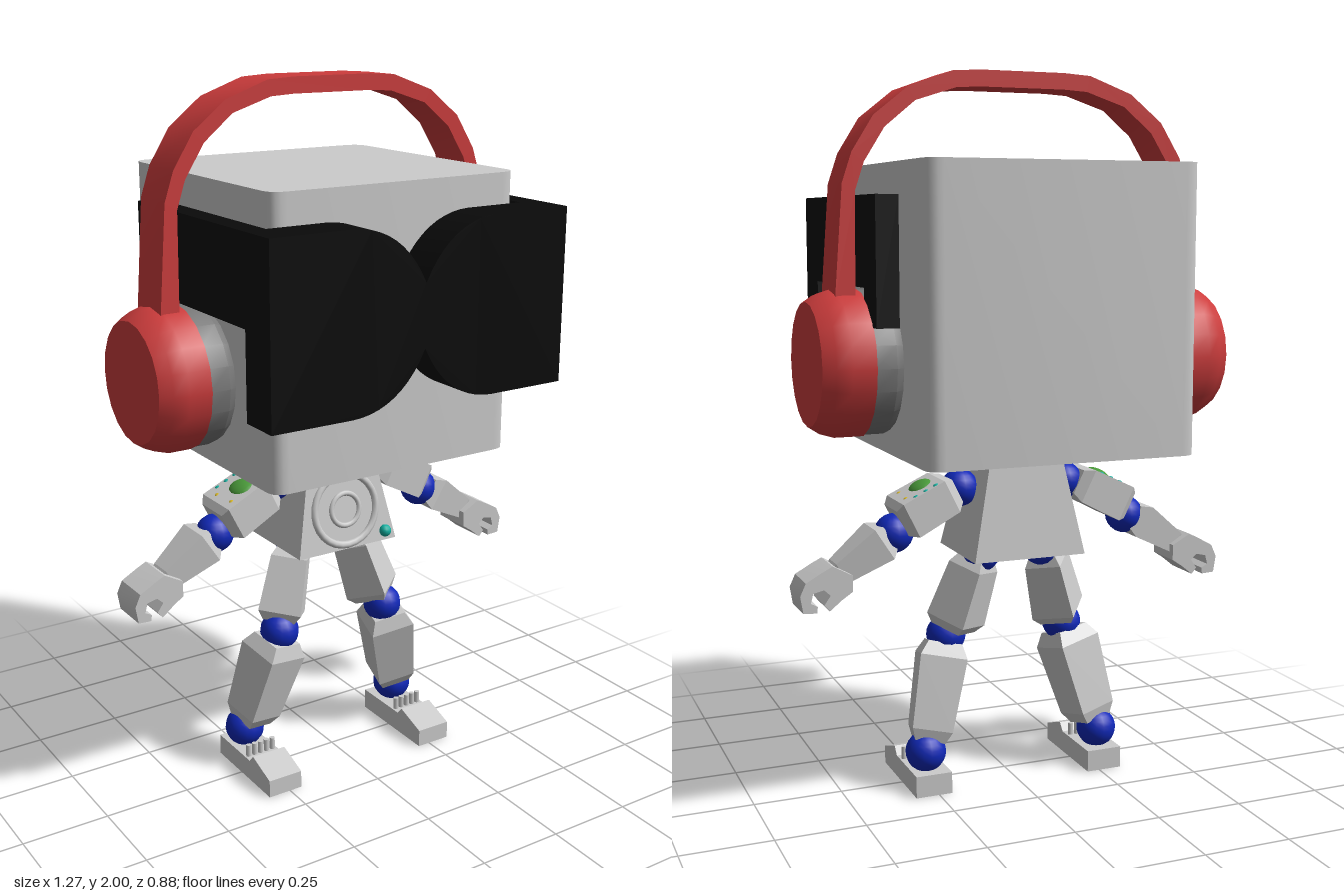
import * as THREE from 'three';
import { toCreasedNormals } from 'three/addons/utils/BufferGeometryUtils.js';

const mat = (color, extra = {}) => new THREE.MeshStandardMaterial({ color, ...extra });
const GREY = mat(0xcccccc), RED = mat(0xcc3c3c), BLACK = mat(0x0a0a0a), BLUE = mat(0x1028b8);
const BUTTON = mat(0xdd1010), GREEN = mat(0x4a9a3a), TEAL = mat(0x10b0a0), YELLOW = mat(0xd8b820);
const V = (x, y, z) => new THREE.Vector3(x, y, z);

export function createModel() {
  const root = new THREE.Group();
  root.name = 'robotFigure';

  const add = (name, geo, material, parent = root) => {
    const m = new THREE.Mesh(geo, material);
    m.name = name;
    parent.add(m);
    return m;
  };
  const polygon = pts => new THREE.Shape(pts.map(p => new THREE.Vector2(p[0], p[1])));
  const extrude = (shape, depth, curveSegments = 8) =>
    toCreasedNormals(new THREE.ExtrudeGeometry(shape, { depth, bevelEnabled: false, curveSegments }), 0.6);
  // side profile of [z, y] points swept along x
  const extrudeX = (pts, x0, x1) =>
    extrude(polygon(pts.map(([z, y]) => [-z, y])), x1 - x0).rotateY(Math.PI / 2).translate(x0, 0, 0);
  const ball = (name, p, r, material = BLUE, parent = root, w = 16, h = 12) => {
    const m = add(name, new THREE.SphereGeometry(r, w, h), material, parent);
    m.position.copy(p);
    return m;
  };
  // four-sided limb with chamfered ends; w0, w1 are full widths
  const limb = (name, a, b, w0, w1, depthScale, parent) => {
    const L = a.distanceTo(b), r0 = w0 / Math.SQRT2, r1 = w1 / Math.SQRT2;
    const profile = [[0, 0], [r0 * 0.72, 0], [r0, L * 0.14], [r1, L * 0.88], [r1 * 0.75, L], [0, L]]
      .map(p => new THREE.Vector2(...p));
    const geo = new THREE.LatheGeometry(profile, 4, Math.PI / 4);
    const m = add(name, toCreasedNormals(geo, 0.1), GREY, parent);
    m.scale.z = depthScale;
    m.position.copy(a);
    m.quaternion.setFromUnitVectors(V(0, 1, 0), b.clone().sub(a).normalize());
    return m;
  };

  // Head: block with rounded vertical edges
  const hw = 0.38, zf = 0.32, zb = -0.44, r = 0.045;
  const plan = new THREE.Shape();
  plan.moveTo(-hw + r, -zf);
  plan.lineTo(hw - r, -zf).quadraticCurveTo(hw, -zf, hw, -zf + r);
  plan.lineTo(hw, -zb - r).quadraticCurveTo(hw, -zb, hw - r, -zb);
  plan.lineTo(-hw + r, -zb).quadraticCurveTo(-hw, -zb, -hw, -zb - r);
  plan.lineTo(-hw, -zf + r).quadraticCurveTo(-hw, -zf, -hw + r, -zf);
  add('head', extrude(plan, 0.775, 5).rotateX(-Math.PI / 2).translate(0, 0.98, 0), GREY);

  // Glasses front: two joined lenses pinched at the bridge
  const lens = new THREE.Shape();
  lens.moveTo(0.457, 1.19);
  lens.lineTo(0.457, 1.67).lineTo(0.22, 1.67);
  lens.bezierCurveTo(0.13, 1.668, 0.05, 1.62, 0, 1.515);
  lens.bezierCurveTo(-0.05, 1.62, -0.13, 1.668, -0.22, 1.67);
  lens.lineTo(-0.457, 1.67).lineTo(-0.457, 1.19).lineTo(-0.22, 1.19);
  lens.bezierCurveTo(-0.13, 1.192, -0.05, 1.24, 0, 1.345);
  lens.bezierCurveTo(0.05, 1.24, 0.13, 1.192, 0.22, 1.19);
  add('glassesFront', extrude(lens, 0.12, 10).translate(0, 0, 0.32), BLACK);

  // Headphone band: arch outline, thicker toward the cups
  const outer = [[0.53, 1.4], [0.507, 1.7], [0.48, 1.78], [0.42, 1.875], [0.325, 1.95], [0.2, 1.995], [0.12, 2]];
  const inner = [[0.475, 1.4], [0.472, 1.68], [0.447, 1.755], [0.39, 1.845], [0.305, 1.915], [0.19, 1.952], [0.12, 1.956]];
  const flip = pts => pts.map(([x, y]) => [-x, y]).reverse();
  const arch = [...outer, ...flip(outer), ...flip(inner).reverse(), ...inner.slice().reverse()];
  add('headphoneBand', extrude(polygon(arch), 0.137).translate(0, 0, -0.133), RED);

  // Torso: tapered block
  const torso = new THREE.CylinderGeometry(Math.SQRT1_2, Math.SQRT1_2, 0.315, 4, 1).rotateY(Math.PI / 4);
  const tp = torso.attributes.position;
  for (let i = 0; i < tp.count; i++) {
    const top = tp.getY(i) > 0;
    tp.setX(i, tp.getX(i) * (top ? 0.2 : 0.33));
    tp.setZ(i, tp.getZ(i) * (top ? 0.2 : 0.285) - (top ? 0.06 : 0.053));
  }
  add('torso', toCreasedNormals(torso.translate(0, 0.8325, 0), 0.2), GREY);

  // Chest details, leaning with the front face
  const chest = new THREE.Group();
  chest.name = 'chestPanel';
  chest.position.set(0, 0.79, 0.071);
  chest.rotation.x = -0.163;
  root.add(chest);
  for (const [name, R, t] of [['chestRing', 0.104, 0.011], ['chestDial', 0.047, 0.008]])
    add(name, new THREE.TorusGeometry(R, t, 8, 28), GREY, chest);
  add('chestButton', new THREE.BoxGeometry(0.068, 0.05, 0.04), BUTTON, chest).position.set(0, 0.147, 0);
  ball('chestKnob', V(0.127, -0.088, 0.006), 0.018, TEAL, chest, 10, 8);

  for (const s of [1, -1]) {
    const side = s > 0 ? 'left' : 'right';
    const group = name => {
      const g = new THREE.Group();
      g.name = side + name;
      root.add(g);
      return g;
    };
    const P = (x, y, z) => V(s * x, y, z);

    // Glasses arm with hook behind the ear
    const temple = [[0.33, 1.43], [0.33, 1.67], [-0.26, 1.67], [-0.26, 1.33], [-0.15, 1.33], [-0.15, 1.43]];
    add(side + 'GlassesArm', extrudeX(temple, s > 0 ? 0.395 : -0.457, s > 0 ? 0.457 : -0.395), BLACK);

    // Ear cup and cushion, turned around the x axis
    const ear = group('Headphone');
    ear.position.set(0, 1.225, -0.06);
    ear.rotation.z = -s * Math.PI / 2;
    const turned = pts => toCreasedNormals(
      new THREE.LatheGeometry(pts.map(p => new THREE.Vector2(...p)), 20), 0.5);
    add('earCup', turned([[0, 0.455], [0.2, 0.455], [0.2, 0.52], [0.188, 0.56], [0.167, 0.592], [0, 0.592]]), RED, ear);
    add('earCushion', turned([[0, 0.375], [0.185, 0.375], [0.196, 0.4], [0.196, 0.46], [0, 0.46]]), mat(0x777777), ear);

    // Arm
    const arm = group('Arm');
    ball('shoulder', P(0.16, 0.865, -0.06), 0.053, BLUE, arm);
    const upper = limb('upperArm', P(0.185, 0.865, -0.06), P(0.345, 0.785, -0.06), 0.1, 0.105, 1.45, arm);
    ball('elbow', P(0.355, 0.75, -0.06), 0.055, BLUE, arm);
    limb('forearm', P(0.375, 0.745, -0.06), P(0.53, 0.645, -0.06), 0.1, 0.065, 1.1, arm);

    // Coloured controls on top of the upper arm
    const panel = new THREE.Group();
    panel.name = 'armControls';
    panel.position.copy(P(0.29, 0.861, -0.06));
    panel.rotation.z = -s * 0.464;
    arm.add(panel);
    const pad = ball('greenPad', V(-s * 0.02, 0, 0.01), 0.04, GREEN, panel);
    pad.scale.set(0.9, 0.45, 1.15);
    for (let i = 0; i < 3; i++)
      ball('tealKnob', V(s * (i * 0.032 - 0.045), 0, -0.062), 0.011, TEAL, panel, 8, 6);
    ball('yellowKnob', V(s * 0.035, 0, 0.045), 0.011, YELLOW, panel, 8, 6);
    ball('yellowKnob', V(s * 0.04, 0, -0.03), 0.011, YELLOW, panel, 8, 6);

    // Gripping hand
    const claw = [[0.49, 0.655], [0.545, 0.685], [0.575, 0.67], [0.62, 0.645], [0.636, 0.61], [0.628, 0.562],
      [0.59, 0.56], [0.588, 0.578], [0.607, 0.588], [0.6, 0.615], [0.57, 0.622], [0.552, 0.605],
      [0.57, 0.58], [0.555, 0.562], [0.52, 0.59], [0.49, 0.61]];
    add('hand', extrude(polygon(claw.map(([x, y]) => [s * x, y])), 0.118).translate(0, 0, -0.118), GREY, arm);

    // Leg
    const leg = group('Leg');
    ball('hip', P(0.095, 0.672, -0.055), 0.056, BLUE, leg);
    limb('thigh', P(0.105, 0.66, -0.05), P(0.167, 0.45, -0.02), 0.105, 0.125, 1, leg);
    ball('knee', P(0.182, 0.427, 0), 0.057, BLUE, leg);
    limb('shin', P(0.19, 0.405, 0), P(0.255, 0.135, -0.052), 0.135, 0.115, 1, leg);
    ball('ankle', P(0.268, 0.11, -0.065), 0.058, BLUE, leg);

    // Foot with raised toe cap and a row of pegs
    const foot = [[-0.13, 0], [0.165, 0], [0.165, 0.052], [0.07, 0.085], [0.05, 0.062], [-0.13, 0.062]];
    add('foot', extrudeX(foot, s * 0.265 - 0.053, s * 0.265 + 0.053), GREY, leg);
    for (let i = 0; i < 5; i++)
      add('footPeg', new THREE.CylinderGeometry(0.008, 0.008, 0.04, 8), GREY, leg)
        .position.copy(P(0.225 + i * 0.02, 0.078, 0.022));
  }
  return root;
}
